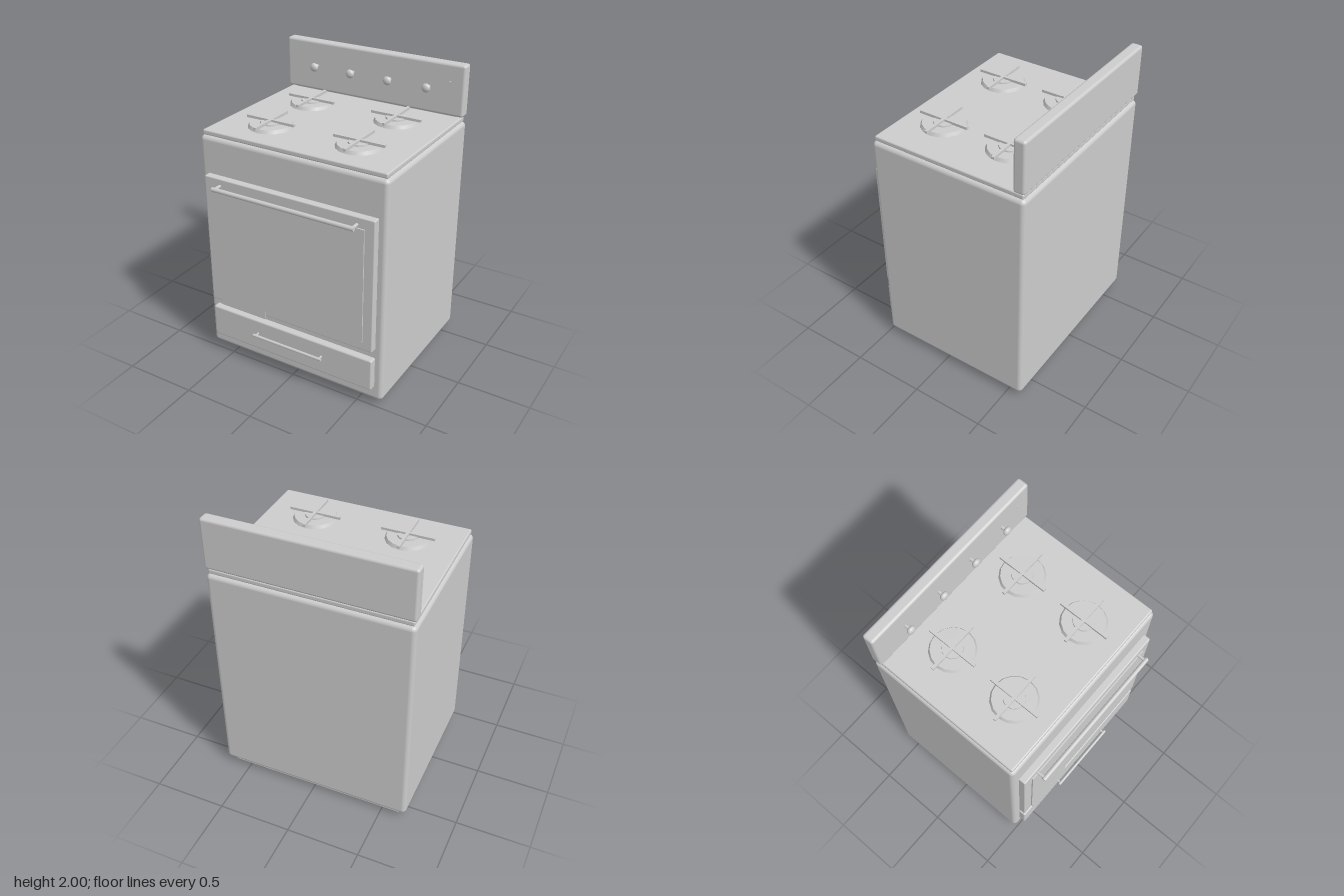
import * as THREE from 'three';
import { RoundedBoxGeometry } from 'three/addons/geometries/RoundedBoxGeometry.js';

export function createModel() {
  const stove = new THREE.Group();
  stove.name = 'stove';
  const enamel = new THREE.MeshStandardMaterial({ color: 0xcccccc });
  enamel.name = 'grey enamel';

  const add = (name, geometry, x, y, z, parent = stove) => {
    const mesh = new THREE.Mesh(geometry, enamel);
    mesh.name = name;
    mesh.position.set(x, y, z);
    parent.add(mesh);
    return mesh;
  };
  // Box from its limits, symmetric about x = 0, optionally with rounded edges
  const slab = (name, halfWidth, y0, y1, z0, z1, radius = 0) => {
    const size = [halfWidth * 2, y1 - y0, z1 - z0];
    const geometry = radius
      ? new RoundedBoxGeometry(...size, 3, radius)
      : new THREE.BoxGeometry(...size);
    return add(name, geometry, 0, (y0 + y1) / 2, (z0 + z1) / 2);
  };
  // Rod along z
  const rodZ = (name, radius, z0, z1, x, y) => {
    const geometry = new THREE.CylinderGeometry(radius, radius, z1 - z0, 12).rotateX(Math.PI / 2);
    return add(name, geometry, x, y, (z0 + z1) / 2);
  };
  // Horizontal bar on two posts
  const handle = (name, halfWidth, postX, y, z, radius) => {
    add(name + 'Bar', new THREE.CylinderGeometry(radius, radius, halfWidth * 2, 12).rotateZ(Math.PI / 2), 0, y, z);
    for (const side of [-1, 1]) rodZ(name + 'Post', radius * 0.7, 0.535, z, side * postX, y);
  };

  // Cabinet
  slab('plinth', 0.62, 0, 0.06, -0.57, 0.41);
  slab('body', 0.675, 0.04, 1.61, -0.61, 0.49, 0.03);
  slab('cooktop', 0.66, 1.61, 1.645, -0.595, 0.475, 0.01);
  slab('backPanel', 0.675, 1.65, 2, -0.61, -0.53, 0.018);
  slab('backPanelMount', 0.62, 1.64, 1.67, -0.59, -0.55);

  // Oven door and drawer
  slab('ovenDoor', 0.62, 0.435, 1.36, 0.48, 0.537, 0.008);
  slab('doorWindow', 0.553, 0.5, 1.29, 0.537, 0.546);
  add('doorPlate', new THREE.BoxGeometry(0.36, 0.09, 0.004), -0.36, 0.455, 0.54);
  handle('doorHandle', 0.515, 0.5, 1.31, 0.597, 0.015);
  slab('drawer', 0.62, 0.14, 0.37, 0.48, 0.537, 0.012);
  handle('drawerHandle', 0.267, 0.25, 0.27, 0.57, 0.01);

  // Control knobs and indicator
  for (const x of [-0.43, -0.145, 0.14, 0.425]) {
    rodZ('knobStem', 0.012, -0.535, -0.485, x, 1.827);
    add('knob', new THREE.SphereGeometry(0.03, 20, 14), x, 1.827, -0.487).scale.z = 0.67;
  }
  rodZ('indicator', 0.008, -0.535, -0.523, 0.57, 1.88);

  // Burners with crossed grates
  for (const x of [-0.322, 0.322]) {
    for (const z of [-0.28, 0.205]) {
      const burner = new THREE.Group();
      burner.name = 'burner';
      burner.position.set(x, 1.645, z);
      stove.add(burner);
      add('burnerRing', new THREE.CylinderGeometry(0.138, 0.149, 0.022, 16), 0, 0.011, 0, burner);
      add('burnerCap', new THREE.CylinderGeometry(0.068, 0.07, 0.012, 12), 0, 0.026, 0, burner);
      add('grateBar', new THREE.BoxGeometry(0.357, 0.017, 0.02), 0, 0.037, 0, burner);
      add('grateBar', new THREE.BoxGeometry(0.02, 0.018, 0.357), 0, 0.037, 0, burner);
    }
  }
  return stove;
}
